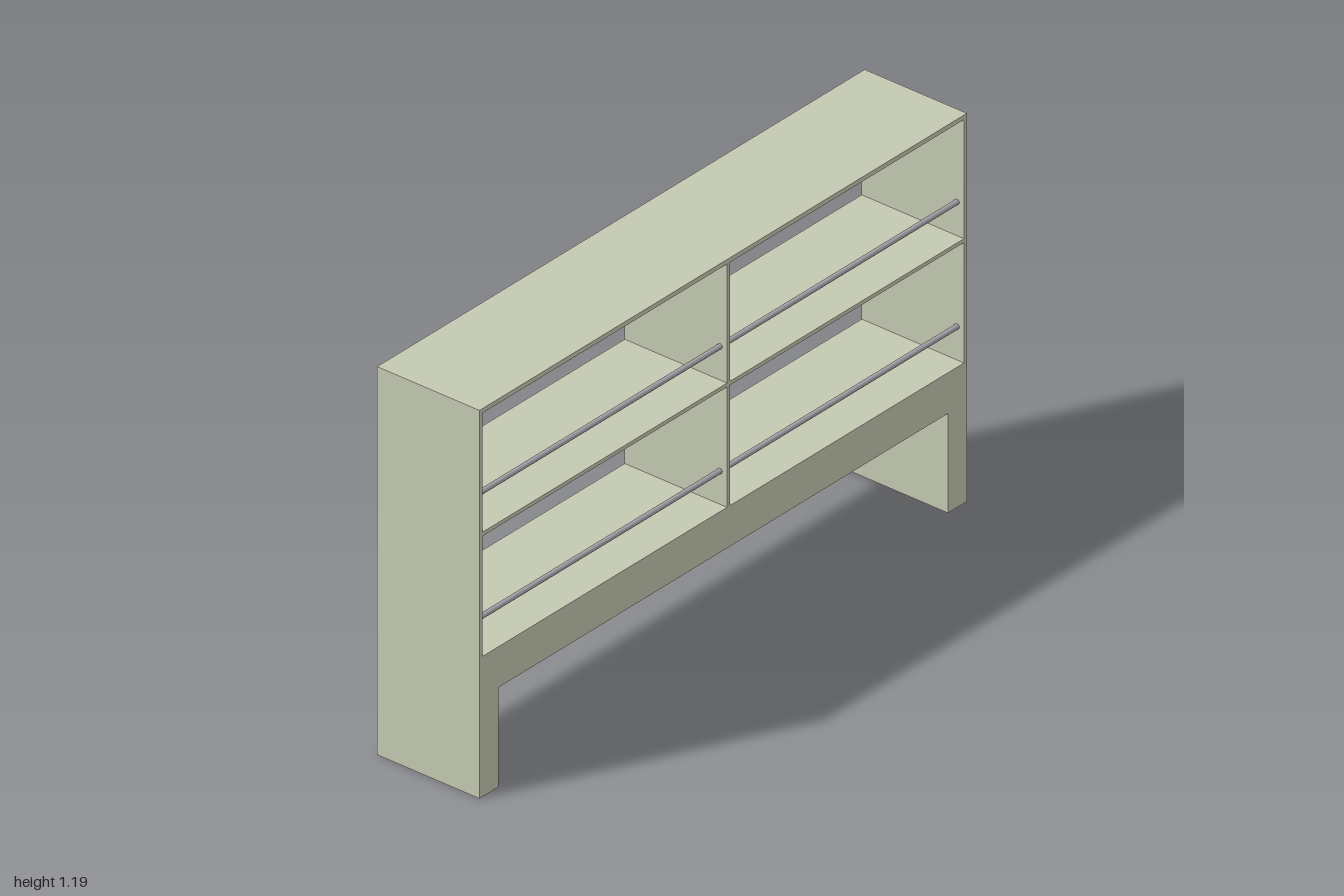
import * as THREE from 'three';

const DEPTH = 0.352, TOP = 1.19, PANEL = 0.012, DIVIDER_X = 0.022;

export function createModel() {
  const model = new THREE.Group();
  model.name = 'shelfRack';
  const paint = new THREE.MeshStandardMaterial({ color: 0xc4c9b1 });
  paint.name = 'sage paint';
  const metal = new THREE.MeshStandardMaterial({ color: 0xa3a3a8 });
  metal.name = 'grey metal';

  // Full-depth board given by its x and y limits
  function board(name, x0, x1, y0, y1) {
    const mesh = new THREE.Mesh(new THREE.BoxGeometry(x1 - x0, y1 - y0, DEPTH), paint);
    mesh.position.set((x0 + x1) / 2, (y0 + y1) / 2, 0);
    mesh.name = name;
    model.add(mesh);
  }

  // Base: solid bridge on two legs, cut as one outline
  const outline = new THREE.Shape([
    [-1, 0], [-0.922, 0], [-0.922, 0.305], [0.922, 0.305],
    [0.922, 0], [1, 0], [1, 0.43], [-1, 0.43],
  ].map(([x, y]) => new THREE.Vector2(x, y)));
  const baseGeometry = new THREE.ExtrudeGeometry(outline, { depth: DEPTH, bevelEnabled: false });
  baseGeometry.translate(0, 0, -DEPTH / 2);
  const base = new THREE.Mesh(baseGeometry, paint);
  base.name = 'base';
  model.add(base);

  // Case: sides, top and divider
  board('rightSide', -1, -1 + PANEL, 0.43, TOP);
  board('leftSide', 1 - PANEL, 1, 0.43, TOP);
  board('top', -1 + PANEL, 1 - PANEL, TOP - 0.014, TOP);
  board('divider', DIVIDER_X - PANEL / 2, DIVIDER_X + PANEL / 2, 0.43, TOP - 0.014);

  // Middle shelf and guard rails in each bay
  const bays = [
    [-1 + PANEL, DIVIDER_X - PANEL / 2],
    [DIVIDER_X + PANEL / 2, 1 - PANEL],
  ];
  for (const [x0, x1] of bays) {
    board('shelf', x0, x1, 0.799, 0.811);
    for (const y of [0.533, 0.915]) {
      for (const z of [-0.152, 0.152]) {
        const rail = new THREE.Mesh(new THREE.CylinderGeometry(0.008, 0.008, x1 - x0, 20), metal);
        rail.rotation.z = Math.PI / 2;
        rail.position.set((x0 + x1) / 2, y, z);
        rail.name = 'guardRail';
        model.add(rail);
      }
    }
  }
  return model;
}
